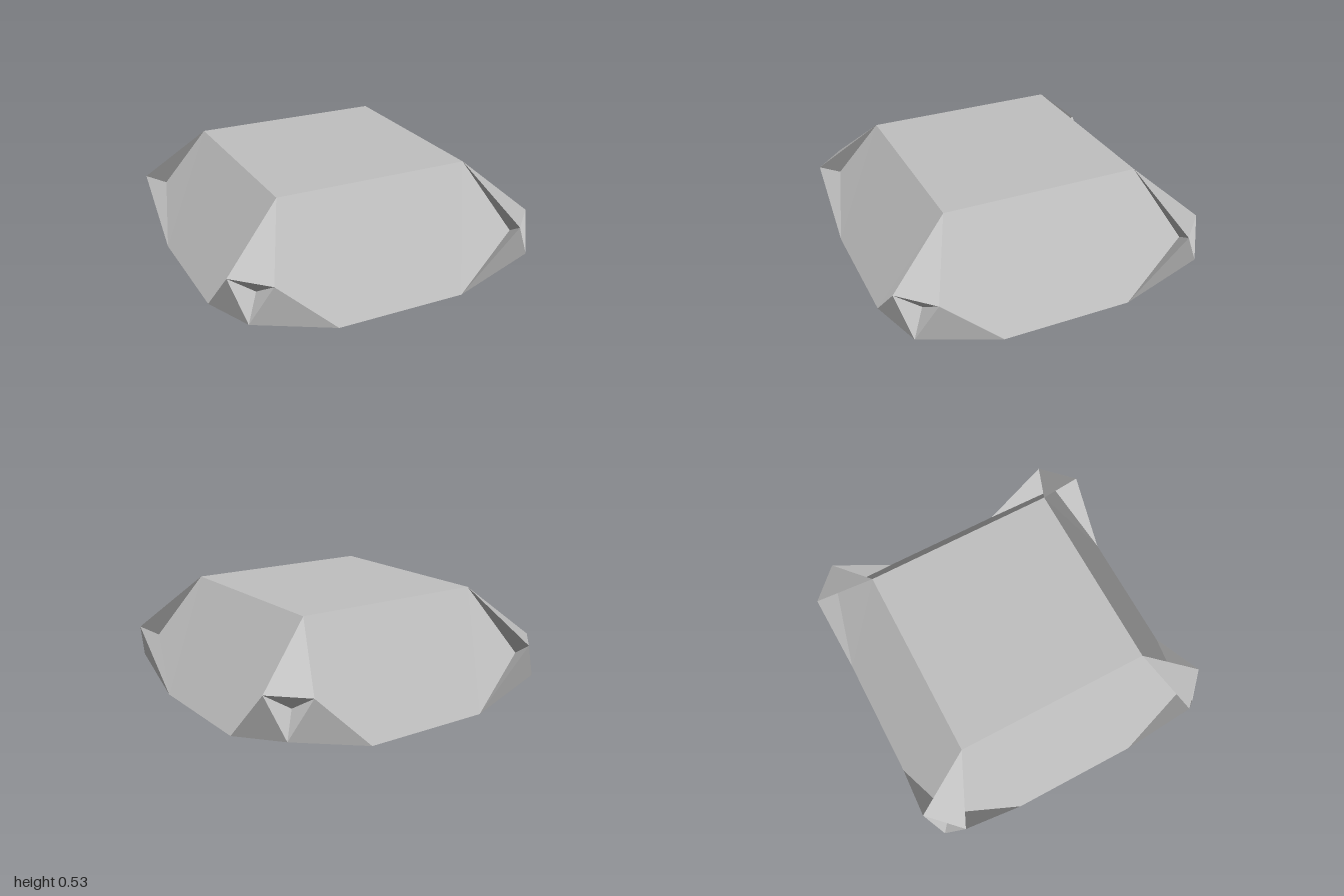
import * as THREE from 'three';

// Corner points, described once for the corner that points along +z
const T = [0, 0.53, 0.67];       // top rim
const N = [0, 0.21, 0.915];      // inside of the notch
const A = [0, 0.1, 1];           // lower tip
const W = [0.105, 0.28, 0.97];   // wing of the beak
const B = [0.31, 0, 0.755];      // base

const mirror = ([x, y, z]) => [-x, y, z];
const quarter = ([x, y, z], k) => {
  for (let i = 0; i < k; i++) [x, z] = [z, -x];
  return [x, y, z];
};

// Flat-shaded mesh from polygons, each split as a fan
function facetMesh(name, polygons, material) {
  const points = [];
  for (const p of polygons) {
    for (let i = 1; i < p.length - 1; i++) points.push(...p[0], ...p[i], ...p[i + 1]);
  }
  const geometry = new THREE.BufferGeometry();
  geometry.setAttribute('position', new THREE.Float32BufferAttribute(points, 3));
  geometry.computeVertexNormals();
  const mesh = new THREE.Mesh(geometry, material);
  mesh.name = name;
  return mesh;
}

// Adds the mirrored copy of each right-hand triangle, with its order reversed
const bothSides = (faces) => faces.flatMap((f) => [f, f.map(mirror).reverse()]);

export function createModel() {
  const group = new THREE.Group();
  group.name = 'facetedBlock';
  const grey = new THREE.MeshStandardMaterial({ color: 0xc0c0c0, flatShading: true });
  grey.name = 'stone grey';

  // Body: square top, octagonal base and sloping sides
  const top = [];
  const base = [];
  const sides = [];
  for (let k = 0; k < 4; k++) {
    const turn = (p) => quarter(p, k);
    top.push(turn(T));
    base.push(turn(mirror(B)), turn(B));
    sides.push([T, B, quarter(mirror(B), 1), quarter(T, 1)].map(turn));
    sides.push(...bothSides([[T, N, B]]).map((f) => f.map(turn)));
  }
  group.add(facetMesh('body', [top, base.reverse(), ...sides], grey));

  // Corners: overhanging beak above, pointed foot below
  const beak = [
    [T, mirror(W), W],
    [mirror(W), N, W],
    ...bothSides([[T, W, N]]),
  ];
  const foot = [
    [A, mirror(B), B],
    ...bothSides([[W, N, A], [W, A, B], [W, B, N]]),
  ];
  for (let k = 0; k < 4; k++) {
    const corner = new THREE.Group();
    corner.name = ['frontCorner', 'leftCorner', 'backCorner', 'rightCorner'][k];
    corner.add(facetMesh('beak', beak, grey), facetMesh('foot', foot, grey));
    corner.rotation.y = (k * Math.PI) / 2;
    group.add(corner);
  }
  return group;
}
